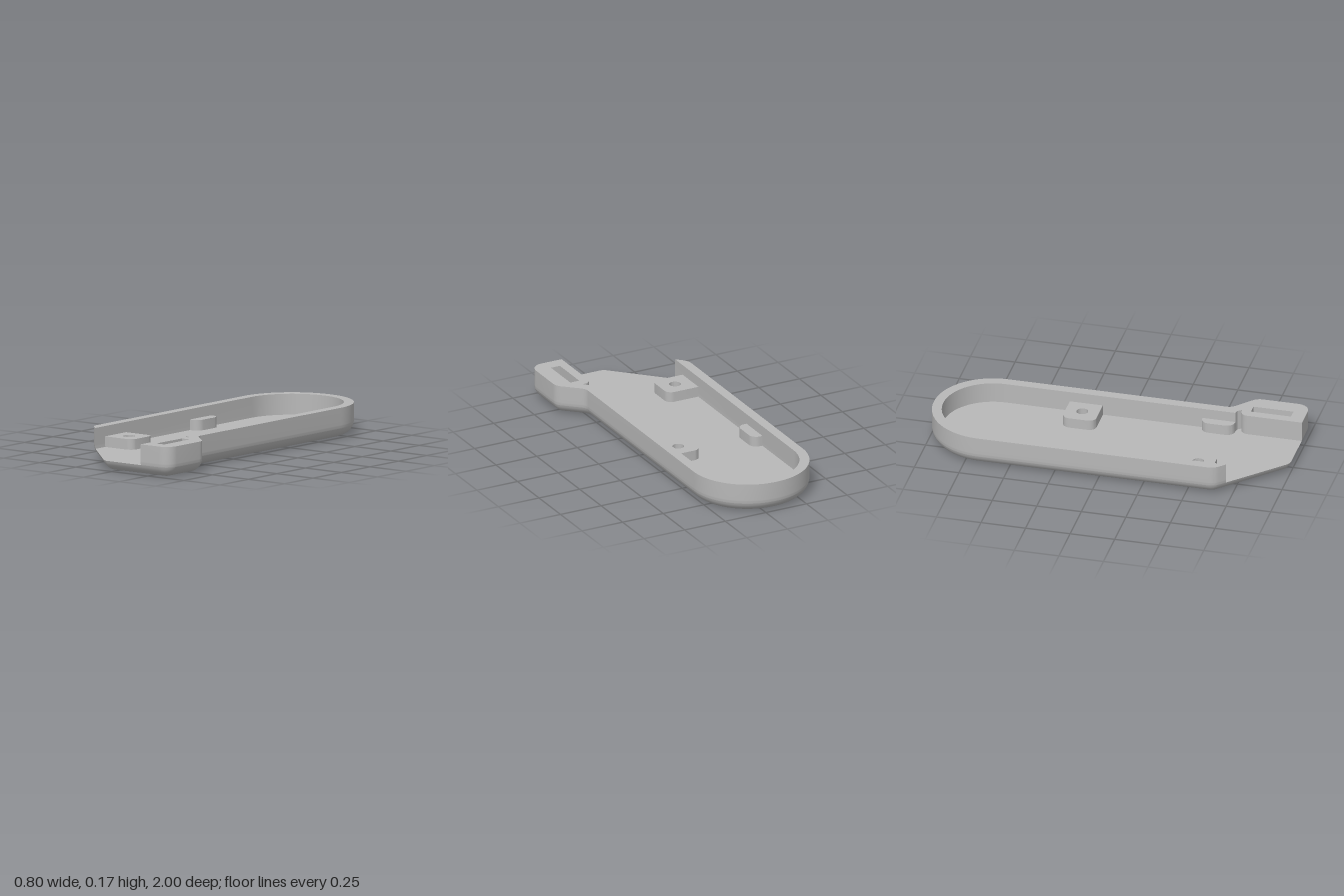
import * as THREE from 'three';
import { toCreasedNormals } from 'three/addons/utils/BufferGeometryUtils.js';

const FLOOR = 0.055, TOP = 0.17, PAD_TOP = 0.113, R = 0.075;

// Outer plan as [x, z, corner radius], from the block's cut round the back to the left cut
const OUTER = [
  [0.2, 1, 0], [0.395, 1, 0.07], [0.395, 0.7, 0.07], [0.27, 0.585, 0.06],
  [0.27, -1, 0.33], [-0.4, -1, 0.33], [-0.4, 0.655, 0.08], [-0.345, 0.71, 0], [-0.055, 1, 0.06],
];
const WALL_CORNERS = 8;

// Inner face of the wall, from the left cut round the back to the block
const INNER = [
  [-0.345, 0.71, 0], [-0.345, -0.947, 0.278], [0.215, -0.947, 0.278], [0.215, 0.622, 0],
  [0.238, 0.627, 0], [0.255, 0.65, 0], [0.2, 0.652, 0.04], [0.2, 1, 0],
];

const SCREWS = [[-0.25, 0.53], [0.125, -0.215]];

// Insets a plan by d and rounds its corners; returns one point list per corner
function roundCorners(plan, d = 0) {
  const n = plan.length;
  const dir = plan.map((p, i) => {
    const q = plan[(i + 1) % n];
    const l = Math.hypot(q[0] - p[0], q[1] - p[1]) || 1;
    return [(q[0] - p[0]) / l, (q[1] - p[1]) / l];
  });
  return plan.map(([x, z, r], i) => {
    const e1 = dir[(i + n - 1) % n], e2 = dir[i];
    const n1 = [e1[1], -e1[0]], n2 = [e2[1], -e2[0]];
    const dot = Math.min(1, Math.max(-1, e1[0] * e2[0] + e1[1] * e2[1]));
    const k = d === 0 ? 0 : d / (1 + dot);
    const v = [x + k * (n1[0] + n2[0]), z + k * (n1[1] + n2[1])];
    if (!r) return [v];
    const s = Math.sign(e1[1] * e2[0] - e1[0] * e2[1]);
    const rad = Math.max(r - s * d, 0.002);
    const theta = Math.acos(dot), t = rad * Math.tan(theta / 2);
    const c = [0, 1].map((j) => v[j] - e1[j] * t + n1[j] * rad * s);
    const steps = r > 0.2 ? 24 : 8;
    return Array.from({ length: steps + 1 }, (_, m) => {
      const a = theta * m / steps;
      return [0, 1].map((j) => c[j] + rad * (-n1[j] * s * Math.cos(a) + e1[j] * Math.sin(a)));
    });
  });
}

const outline = (plan, d) => roundCorners(plan, d).flat();
const toVectors = (pts) => pts.map(([x, z]) => new THREE.Vector2(x, -z));

function toShape(pts, holes = []) {
  const shape = new THREE.Shape(toVectors(pts));
  shape.holes = holes.map((h) => new THREE.Path(toVectors(h)));
  return shape;
}

function circle([x, z], r) {
  return Array.from({ length: 32 }, (_, i) => {
    const a = i / 32 * Math.PI * 2;
    return [x + r * Math.cos(a), z + r * Math.sin(a)];
  });
}

// Closed band of faces through rings { y, pts }
function loft(rings) {
  const n = rings[0].pts.length, pos = [], index = [];
  rings.forEach(({ y, pts }) => pts.forEach(([x, z]) => pos.push(x, y, z)));
  for (let j = 0; j < rings.length - 1; j++) {
    for (let i = 0; i < n; i++) {
      const a = j * n + i, b = j * n + (i + 1) % n;
      index.push(a, b, b + n, a, b + n, a + n);
    }
  }
  const g = new THREE.BufferGeometry();
  g.setAttribute('position', new THREE.Float32BufferAttribute(pos, 3));
  g.setIndex(index);
  return toCreasedNormals(g, 0.5);
}

// Flat face at height y, facing up or down
function face(shape, y, down = false) {
  const g = new THREE.ShapeGeometry(shape);
  g.rotateX(-Math.PI / 2).translate(0, y, 0);
  if (down) {
    g.index.array.reverse();
    g.computeVertexNormals();
  }
  return g;
}

export function createModel() {
  const group = new THREE.Group();
  const grey = new THREE.MeshStandardMaterial({ color: 0xb8b8b8, side: THREE.DoubleSide });
  grey.name = 'grey plastic';
  const add = (name, geometry) => {
    const mesh = new THREE.Mesh(geometry, grey);
    mesh.name = name;
    group.add(mesh);
    return mesh;
  };

  // Rounded lower edge: a is the angle along the quarter round
  const edgeEnd = Math.acos(1 - FLOOR / R);
  const edgeY = (a) => R - R * Math.cos(a);
  const edgeInset = (a) => R - R * Math.sin(a);
  const hull = [];
  for (let i = 0; i <= 8; i++) {
    const a = edgeEnd * i / 8;
    hull.push({ y: edgeY(a), pts: outline(OUTER, edgeInset(a)) });
  }
  add('roundedHull', loft(hull));
  add('underside', face(toShape(hull[0].pts, SCREWS.map((s) => circle(s, 0.068))), 0, true));
  add('floor', face(toShape(hull[8].pts, SCREWS.map((s) => circle(s, 0.032))), FLOOR));

  // Wall with the front block, open at the front
  const inner = outline(INNER, 0);
  const wallPlan = (d) => [...roundCorners(OUTER, d).slice(0, WALL_CORNERS).flat(), ...inner.slice(1, -1)];
  const wall = [];
  for (let i = 0; i <= 3; i++) {
    const a = edgeEnd + (Math.PI / 2 - edgeEnd) * i / 3;
    wall.push({ y: edgeY(a), pts: wallPlan(edgeInset(a)) });
  }
  wall.push({ y: TOP, pts: wallPlan(0) });
  add('wall', loft(wall));

  // Slot in the block
  const slot = [[0.25, 0.7], [0.305, 0.7], [0.305, 0.925], [0.25, 0.925]];
  add('rim', face(toShape(wallPlan(0), [slot]), TOP));
  add('slotSides', loft([{ y: FLOOR, pts: slot }, { y: TOP, pts: slot }]));

  // Pads against the walls, rounded on the free side
  const pad = (name, x0, x1, z0, z1, onLeft, r, screw) => {
    const ra = onLeft ? r : 0, rb = onLeft ? 0 : r;
    const pts = outline([[x1, z1, ra], [x1, z0, ra], [x0, z0, rb], [x0, z1, rb]], 0);
    const g = new THREE.ExtrudeGeometry(toShape(pts, screw ? [circle(screw, 0.032)] : []),
      { depth: PAD_TOP - FLOOR, bevelEnabled: false });
    g.rotateX(-Math.PI / 2).translate(0, FLOOR, 0);
    add(name, toCreasedNormals(g, 0.5));
  };
  pad('frontScrewPad', -0.35, -0.157, 0.437, 0.622, true, 0.04, SCREWS[0]);
  pad('backScrewPad', 0.033, 0.22, -0.308, -0.122, false, 0.04, SCREWS[1]);
  pad('backSupportTab', -0.35, -0.285, -0.308, -0.122, true, 0.045);
  pad('frontSupportTab', 0.163, 0.22, 0.437, 0.622, false, 0.045);

  // Counterbored screw holes from below
  const bore = [[0.032, FLOOR], [0.032, 0.03], [0.068, 0.03], [0.068, 0]].map((p) => new THREE.Vector2(...p));
  SCREWS.forEach(([x, z]) => {
    const hole = add('screwHole', toCreasedNormals(new THREE.LatheGeometry(bore, 32), 0.5));
    hole.position.set(x, 0, z);
  });

  return group;
}
